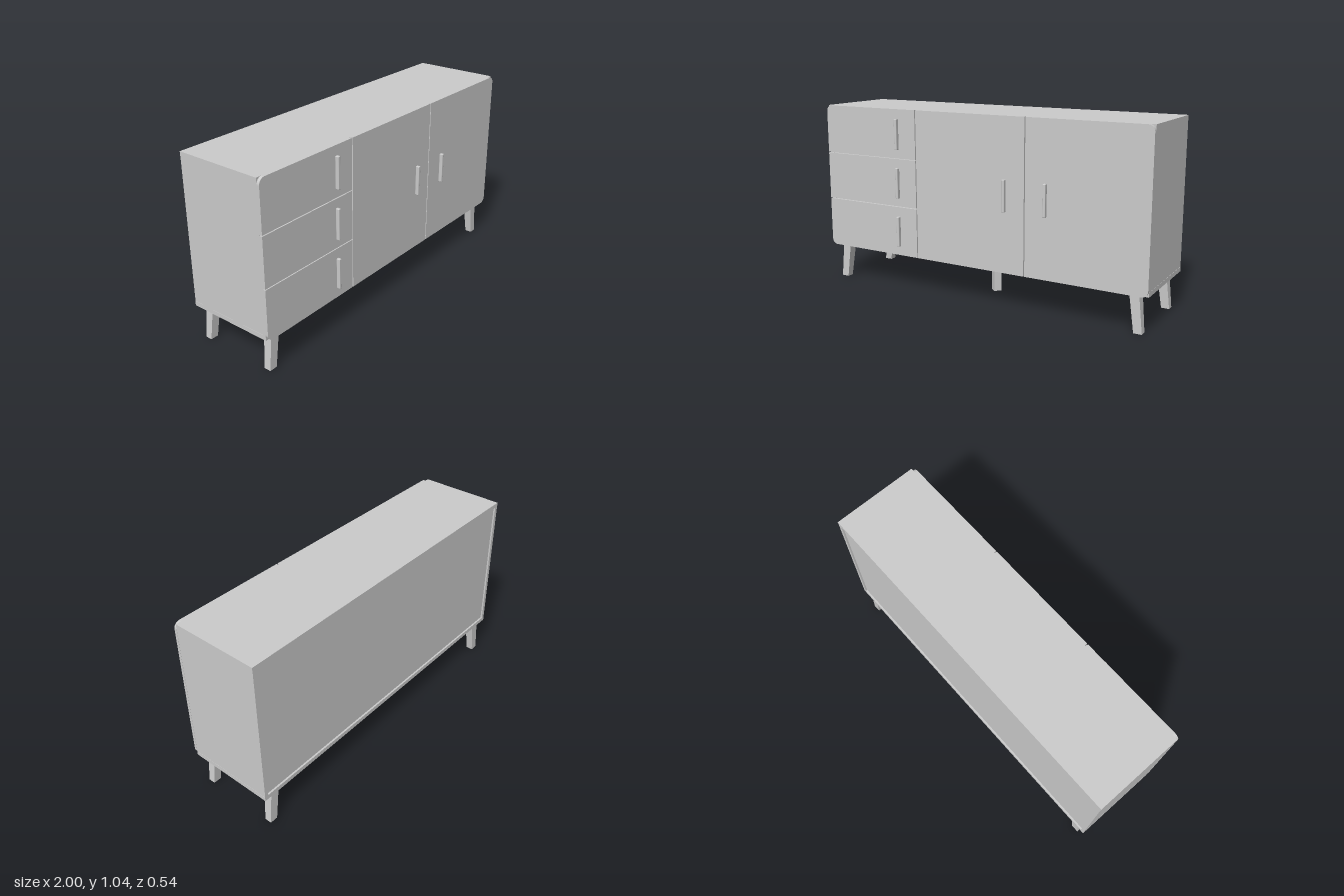
import * as THREE from 'three';
import { RoundedBoxGeometry } from 'three/addons/geometries/RoundedBoxGeometry.js';

export function createModel() {
  const group = new THREE.Group();
  group.name = 'sideboard';
  const grey = new THREE.MeshStandardMaterial({ color: 0xcccccc });
  grey.name = 'grey';

  const add = (name, geometry, x = 0, y = 0, z = 0) => {
    const mesh = new THREE.Mesh(geometry, grey);
    mesh.name = name;
    mesh.position.set(x, y, z);
    group.add(mesh);
    return mesh;
  };

  // Box given by its limits on each axis
  const board = (name, x0, x1, y0, y1, z0, z1) =>
    add(name, new THREE.BoxGeometry(x1 - x0, y1 - y0, z1 - z0),
      (x0 + x1) / 2, (y0 + y1) / 2, (z0 + z1) / 2);

  // Carcass
  const bottom = 0.205, top = 1.045, back = -0.267, front = 0.232;
  board('topBoard', -1, 1, 1.02, top, back, front);
  board('bottomBoard', -1, 1, bottom, 0.23, back, front);
  board('leftSide', 0.978, 0.999, 0.23, 1.02, back, front);
  board('rightSide', -0.999, -0.978, 0.23, 1.02, back, front);
  board('backPanel', -0.978, 0.978, 0.23, 1.02, -0.257, -0.245);
  board('innerFront', -0.978, 0.978, 0.23, 1.02, 0.21, 0.228);

  // Front panels; radii run bottom left, bottom right, top right, top left
  const panel = (name, x0, x1, y0, y1, [bl, br, tr, tl]) => {
    const s = new THREE.Shape();
    s.moveTo(x0 + bl, y0);
    s.lineTo(x1 - br, y0);
    if (br) s.absarc(x1 - br, y0 + br, br, -Math.PI / 2, 0);
    s.lineTo(x1, y1 - tr);
    if (tr) s.absarc(x1 - tr, y1 - tr, tr, 0, Math.PI / 2);
    s.lineTo(x0 + tl, y1);
    if (tl) s.absarc(x0 + tl, y1 - tl, tl, Math.PI / 2, Math.PI);
    s.lineTo(x0, y0 + bl);
    if (bl) s.absarc(x0 + bl, y0 + bl, bl, Math.PI, Math.PI * 1.5);
    add(name, new THREE.ExtrudeGeometry(s, { depth: 0.016, bevelEnabled: false, curveSegments: 8 }), 0, 0, front);
  };
  const r = 0.035;
  panel('lowerDrawer', -1, -0.368, bottom, 0.488, [r, 0, 0, 0]);
  panel('middleDrawer', -1, -0.368, 0.493, 0.765, [0, 0, 0, 0]);
  panel('upperDrawer', -1, -0.368, 0.77, top, [0, 0, 0, r]);
  panel('middleDoor', -0.362, 0.317, bottom, top, [0, 0, 0, 0]);
  panel('leftDoor', 0.323, 1, bottom, top, [0, r, r, 0]);

  // Handles
  const handles = [[-0.488, 0.905], [-0.488, 0.628], [-0.488, 0.347], [0.202, 0.628], [0.441, 0.628]];
  for (const [x, y] of handles) {
    add('handle', new RoundedBoxGeometry(0.017, 0.174, 0.022, 2, 0.004), x, y, 0.258);
  }

  // Corner legs: tapered and splayed outwards
  for (const sx of [-1, 1]) {
    for (const sz of [-1, 1]) {
      const g = new THREE.BoxGeometry(1, bottom, 1).toNonIndexed();
      const p = g.attributes.position;
      const outer = sz > 0 ? 0.213 : 0.252;
      for (let i = 0; i < p.count; i++) {
        const isTop = p.getY(i) > 0;
        const [xIn, xOut] = isTop ? [0.892, 0.944] : [0.92, 0.965];
        const zIn = outer - (isTop ? 0.05 : 0.039);
        p.setX(i, sx * (p.getX(i) * sx > 0 ? xOut : xIn));
        p.setZ(i, sz * (p.getZ(i) * sz > 0 ? outer : zIn));
      }
      g.computeVertexNormals();
      add('cornerLeg', g, 0, bottom / 2, 0);
    }
  }

  // Straight centre leg, turned on its axis
  const centreLeg = add('centreLeg', new THREE.BoxGeometry(0.044, bottom, 0.044), -0.003, bottom / 2, -0.024);
  centreLeg.rotation.y = Math.PI * 0.27;

  return group;
}
